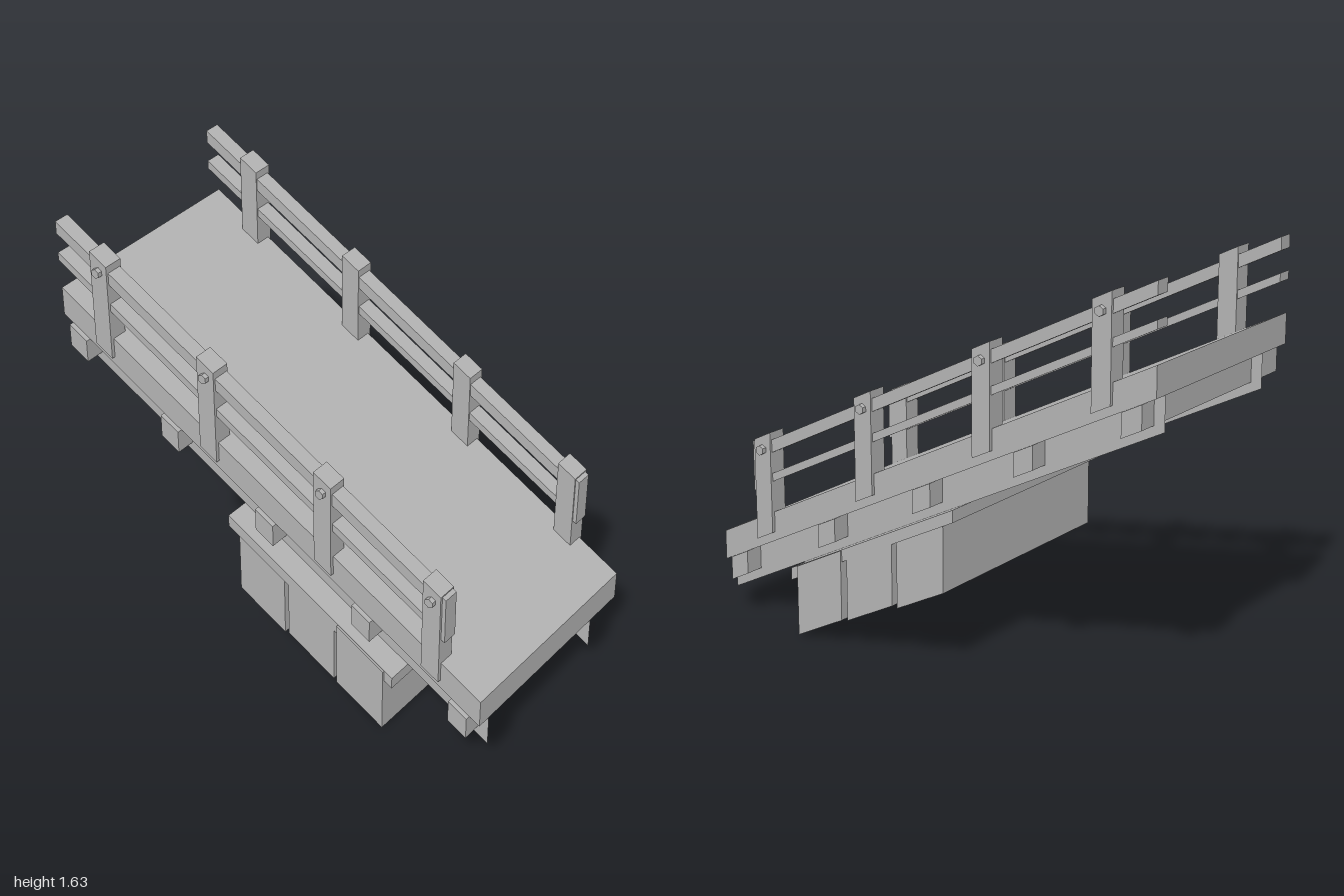
import * as THREE from 'three';

const SLOPE = -0.5;

export function createModel() {
  const model = new THREE.Group();
  const grey = new THREE.MeshStandardMaterial({ color: 0xb3b3b3 });
  grey.name = 'plain grey';

  // Box whose top and bottom follow the ramp slope; y0 and y1 are heights at x = 0.
  function ramped(name, x0, x1, y0, y1, z0, z1, parent = model, openEnds = false) {
    const g = new THREE.BoxGeometry(x1 - x0, y1 - y0, z1 - z0);
    g.translate((x0 + x1) / 2, (y0 + y1) / 2, (z0 + z1) / 2);
    const p = g.attributes.position;
    for (let i = 0; i < p.count; i++) p.setY(i, p.getY(i) + SLOPE * p.getX(i));
    if (openEnds) {
      g.setIndex(Array.from(g.index.array).slice(12));
      g.clearGroups();
    }
    g.computeVertexNormals();
    const mesh = new THREE.Mesh(g, grey);
    mesh.name = name;
    parent.add(mesh);
    return mesh;
  }

  // Walkway
  ramped('deck', -1, 1, 0.72, 0.84, -0.46, 0.46);

  // Cross beams under the deck
  for (const x of [-0.913, -0.46, 0, 0.46, 0.912]) {
    ramped('crossBeam', x - 0.042, x + 0.042, 0.625, 0.72, -0.48, 0.48);
  }

  // Central support: a cap plate over three hanging blocks
  ramped('supportPlate', -0.16, 0.625, 0.535, 0.585, -0.5, 0.5);
  ramped('supportBlock', -0.112, 0.107, 0.27, 0.54, -0.495, 0.495);
  ramped('supportBlock', 0.128, 0.348, 0.287, 0.54, -0.498, 0.498);
  ramped('supportBlock', 0.369, 0.588, 0.297, 0.583, -0.508, 0.508);

  for (const side of [1, -1]) {
    const half = new THREE.Group();
    half.name = side > 0 ? 'frontSide' : 'backSide';
    model.add(half);
    const part = (name, x0, x1, y0, y1, z0, z1, open) =>
      ramped(name, x0, x1, y0, y1, Math.min(z0 * side, z1 * side), Math.max(z0 * side, z1 * side), half, open);

    // Long hollow beam
    part('stringer', -1, 1, 0.585, 0.72, 0.285, 0.4, true);

    // Handrails and their end cap
    part('topRail', -1, 0.83, 1.085, 1.137, 0.4, 0.465);
    part('middleRail', -1, 0.83, 0.966, 1.0, 0.4, 0.465);
    part('railEndCap', 0.8, 0.834, 0.96, 1.163, 0.4, 0.465);

    // Posts with hexagonal bolts
    for (const x of [-0.783, -0.271, 0.276, 0.778]) {
      part('post', x - 0.04, x + 0.04, 0.756, 1.168, 0.395, 0.475);
      const bolt = new THREE.Mesh(
        new THREE.CylinderGeometry(0.02, 0.02, 0.03, 6).toNonIndexed(), grey);
      bolt.geometry.computeVertexNormals();
      bolt.name = 'bolt';
      bolt.rotation.set(Math.PI / 2, 0, 0);
      bolt.position.set(x, 1.113 + SLOPE * x, side * 0.479);
      half.add(bolt);
    }
  }
  return model;
}
